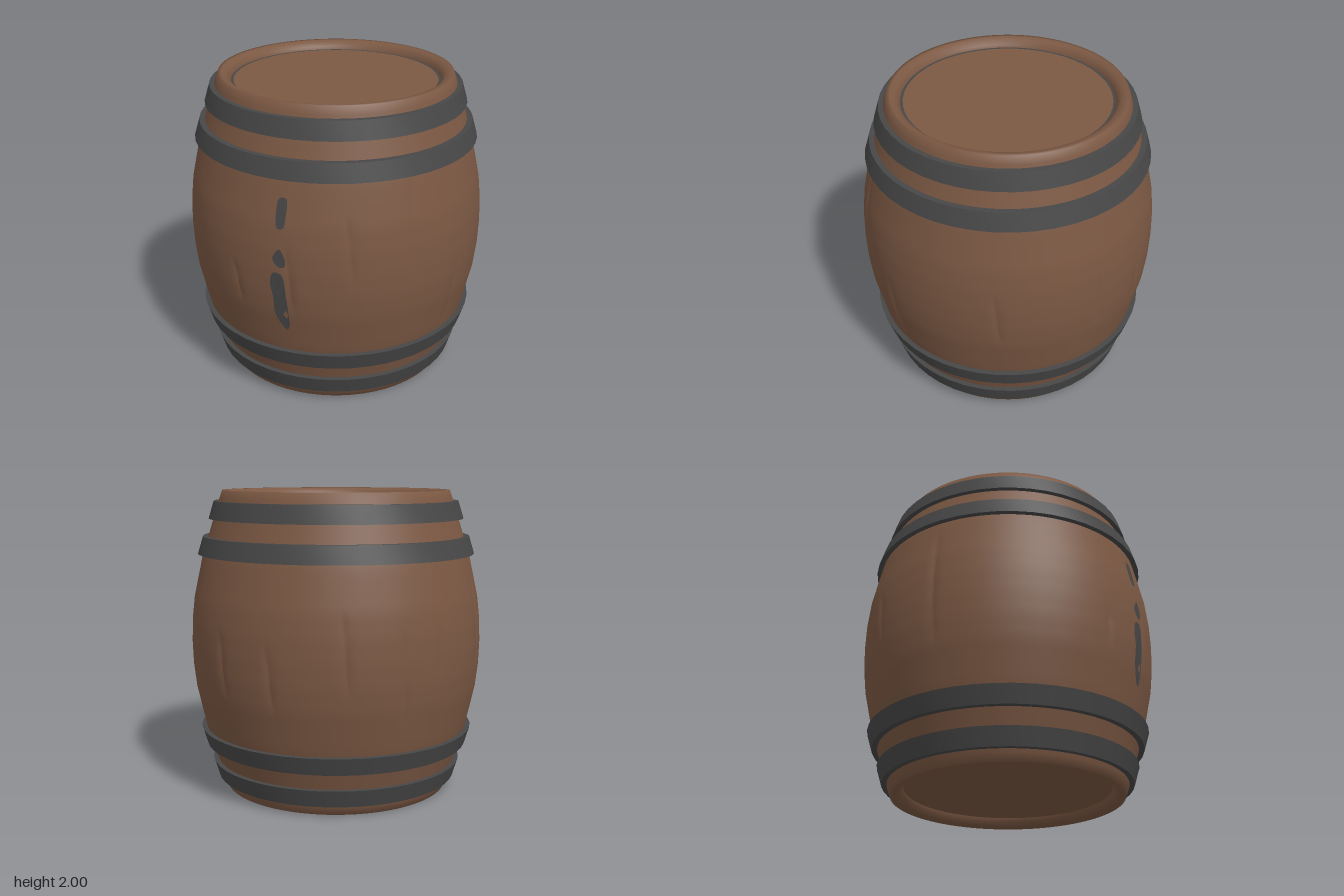
import * as THREE from 'three';
import { mergeVertices, toCreasedNormals } from 'three/addons/utils/BufferGeometryUtils.js';

const wood = new THREE.MeshStandardMaterial({ color: 0x7b5843 });
wood.name = 'brown wood';
const iron = new THREE.MeshStandardMaterial({ color: 0x474747 });
iron.name = 'dark iron';

// Barrel outline: [distance from mid height, radius]
const OUTLINE = [[0, 0.975], [0.15, 0.97], [0.3, 0.953], [0.58, 0.892], [0.7, 0.853], [0.82, 0.815], [0.93, 0.782], [1, 0.757]];

function radiusAt(y) {
  const d = Math.min(Math.abs(y - 1), 1);
  const i = Math.max(1, OUTLINE.findIndex((p) => p[0] >= d));
  const [d0, r0] = OUTLINE[i - 1];
  const [d1, r1] = OUTLINE[i];
  return r0 + ((r1 - r0) * (d - d0)) / (d1 - d0);
}

// Cracks between staves: [x, z, low y, high y]
const CRACKS = [
  [0, 1, 0.74, 1.0], [0.35, 0.9, 0.72, 1.17], [0.68, 0.69, 0.96, 1.36],
  [0.9, 0.36, 0.95, 1.62], [1, 0, 0.4, 0.95], [0.69, -0.69, 0.74, 1.12],
  [0.08, -0.96, 0.75, 1.15], [-0.95, -0.11, 0.9, 1.2], [-0.69, -0.69, 0.8, 1.3],
  [-0.9, -0.37, 0.6, 1.2], [-0.9, 0.37, 0.7, 1.55], [-0.3, -0.92, 0.7, 1.1],
];

// Bulging stave wall with rolled rims, cracked by pulling vertex columns inward
function makeStaves() {
  const columns = 180;
  const rim = [[0.672, 0.065], [0.68, 0.035], [0.705, 0.01], [0.735, 0.001]];
  const points = rim.map(([r, y]) => new THREE.Vector2(r, y));
  for (let i = 0; i <= 40; i++) points.push(new THREE.Vector2(radiusAt(i / 20), i / 20));
  rim.reverse().forEach(([r, y]) => points.push(new THREE.Vector2(r, 2 - y)));

  let geometry = new THREE.LatheGeometry(points, columns);
  geometry.deleteAttribute('uv');
  geometry.deleteAttribute('normal');
  geometry = mergeVertices(geometry, 1e-4);

  const step = (Math.PI * 2) / columns;
  const pos = geometry.attributes.position;
  for (let i = 0; i < pos.count; i++) {
    const x = pos.getX(i), y = pos.getY(i), z = pos.getZ(i);
    let angle = Math.atan2(x, z);
    let r = Math.hypot(x, z);
    for (const [cx, cz, low, high] of CRACKS) {
      if (y <= low || y >= high) continue;
      const centre = Math.round(Math.atan2(cx, cz) / step) * step;
      const offset = angle - centre;
      const strength = Math.sin((Math.PI * (y - low)) / (high - low));
      if (Math.abs(offset) < step * 0.5) r -= 0.02 * strength;
      else if (Math.abs(offset) < step * 1.5) angle -= offset * 0.7 * strength;
    }
    pos.setXYZ(i, r * Math.sin(angle), y, r * Math.cos(angle));
  }
  geometry.computeVertexNormals();
  return geometry;
}

// Tapered hoop with a closed rectangular section
function makeHoop(y0, r0, y1, r1) {
  const section = [[r0 - 0.06, y0], [r0, y0], [r1, y1], [r1 - 0.06, y1], [r0 - 0.06, y0]];
  const lathe = new THREE.LatheGeometry(section.map(([r, y]) => new THREE.Vector2(r, y)), 48);
  return toCreasedNormals(lathe, 0.6);
}

// Thin patch that follows the stave wall, from a smooth closed outline
function makePatch(outline) {
  const curve = new THREE.CatmullRomCurve3(outline.map(([x, y]) => new THREE.Vector3(x, y, 0)), true);
  const shape = new THREE.Shape(curve.getPoints(36).map((p) => new THREE.Vector2(p.x, p.y)));
  const geometry = new THREE.ShapeGeometry(shape);
  const pos = geometry.attributes.position;
  for (let i = 0; i < pos.count; i++) {
    const r = radiusAt(pos.getY(i)) + 0.005;
    pos.setZ(i, Math.sqrt(r * r - pos.getX(i) ** 2));
  }
  geometry.computeVertexNormals();
  return geometry;
}

export function createModel() {
  const barrel = new THREE.Group();
  barrel.name = 'barrel';
  const add = (name, geometry, material) => {
    const mesh = new THREE.Mesh(geometry, material);
    mesh.name = name;
    barrel.add(mesh);
    return mesh;
  };

  add('staves', makeStaves(), wood);

  // Recessed heads
  const head = new THREE.CircleGeometry(0.68, 48);
  const top = add('topHead', head, wood);
  top.rotation.x = -Math.PI / 2;
  top.position.y = 1.94;
  const bottom = add('bottomHead', head, wood);
  bottom.rotation.x = Math.PI / 2;
  bottom.position.y = 0.06;

  // Dark seam around the top head
  const seam = add('topSeam', new THREE.RingGeometry(0.659, 0.685, 48), iron);
  seam.rotation.x = -Math.PI / 2;
  seam.position.y = 1.945;

  // Hoops, mirrored about mid height
  [['outerHoop', 0.07, 0.815, 0.185, 0.85], ['innerHoop', 0.3, 0.89, 0.415, 0.925]].forEach(([name, y0, r0, y1, r1]) => {
    add(name + 'Bottom', makeHoop(y0, r0, y1, r1), iron);
    add(name + 'Top', makeHoop(2 - y1, r1, 2 - y0, r0), iron);
  });

  // Dark gaps in the front staves
  [
    [[0.29, 1.29], [0.325, 1.29], [0.335, 1.38], [0.325, 1.47], [0.285, 1.47], [0.275, 1.38]],
    [[0.31, 1.04], [0.345, 1.05], [0.345, 1.1], [0.31, 1.16], [0.285, 1.13], [0.27, 1.09]],
    [[0.32, 0.585], [0.34, 0.62], [0.345, 0.85], [0.325, 0.99], [0.275, 1.0], [0.25, 0.93], [0.265, 0.83], [0.265, 0.7]],
  ].forEach((outline) => add('staveGap', makePatch(outline), iron));

  return barrel;
}
